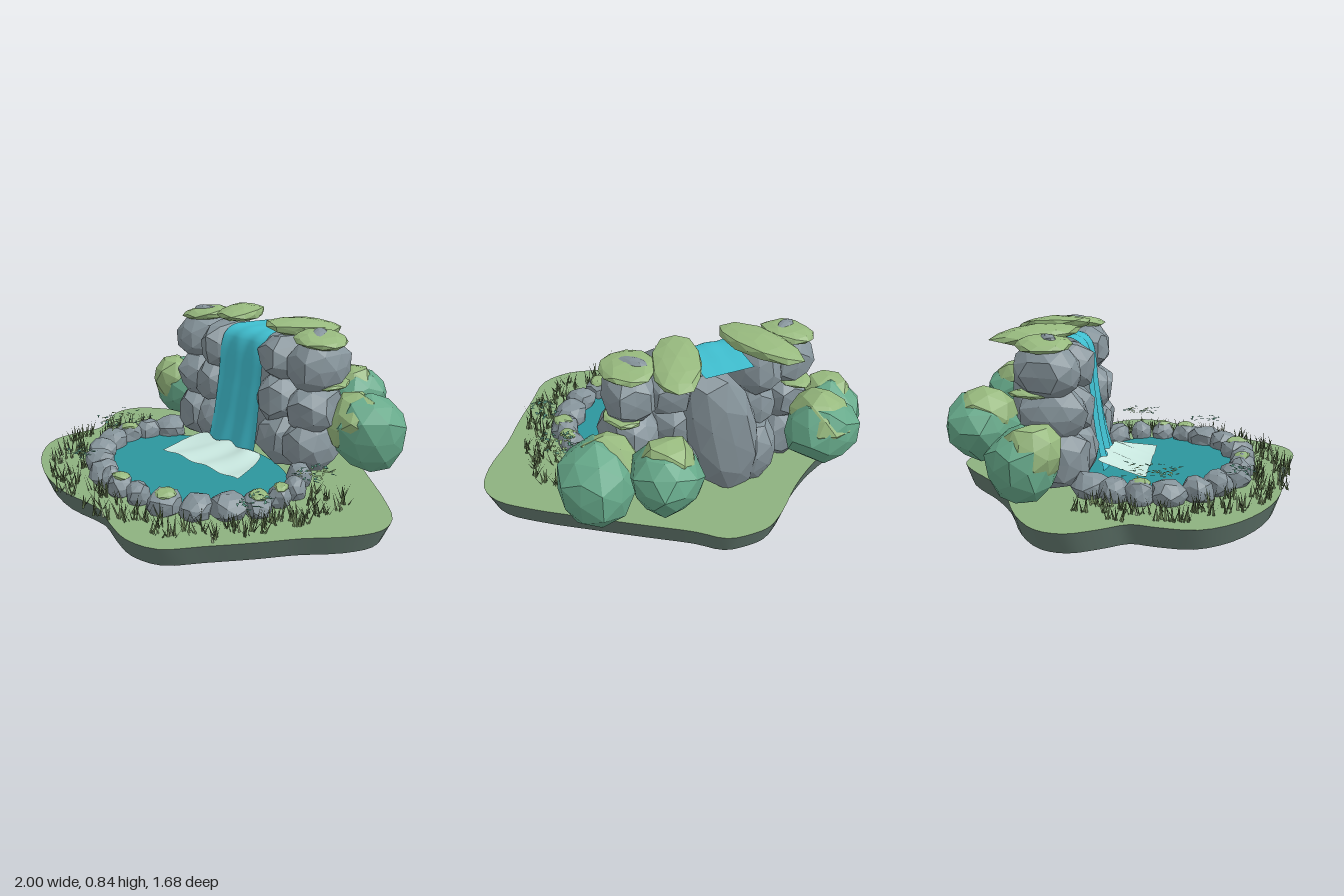
import * as THREE from 'three';
import { mergeGeometries } from 'three/addons/utils/BufferGeometryUtils.js';

const mat = (name, color, extra = {}) => {
  const m = new THREE.MeshStandardMaterial({ color, ...extra });
  m.name = name;
  return m;
};
const open = { side: THREE.DoubleSide };
const flat = { flatShading: true };
const M = {
  grass: mat('grass', 0x8db17f, open),
  earth: mat('earth', 0x62786e, open),
  rock: mat('rock', 0x86949b, flat),
  moss: mat('moss', 0x97b97e, flat),
  leaf: mat('leaf', 0x66a98a, flat),
  pond: mat('pond water', 0x2c969d, open),
  fall: mat('falling water', 0x3fbdce, open),
  foam: mat('foam', 0xcbeae2, open),
  blade: mat('grass blade', 0x667c50, open),
  fern: mat('fern', 0x5b9a86, open),
};

// Small seeded random source
let seed = 7;
const rnd = () => (seed = (seed * 16807) % 2147483647) / 2147483647;
const spread = (a) => (rnd() * 2 - 1) * a;

// Faceted lump: icosphere, made boxier and dented by a position hash
function lump(radii, rough = 0.1, boxy = 0) {
  const g = new THREE.IcosahedronGeometry(1, 1);
  const p = g.attributes.position;
  const v = new THREE.Vector3();
  const s = rnd() * 50;
  for (let i = 0; i < p.count; i++) {
    v.fromBufferAttribute(p, i).normalize();
    const key = Math.round(v.x * 50) * 1.7 + Math.round(v.y * 50) * 2.9 + Math.round(v.z * 50) * 4.3;
    const h = Math.sin(key + s) * 43.7;
    const big = Math.max(Math.abs(v.x), Math.abs(v.y), Math.abs(v.z));
    v.multiplyScalar(1 + boxy * (1 / big - 1) + rough * ((h - Math.floor(h)) * 2 - 1));
    p.setXYZ(i, v.x * radii[0], v.y * radii[1], v.z * radii[2]);
  }
  g.computeVertexNormals();
  return g;
}

// Sheet whose points follow a rule of u and v
function sheet(nu, nv, rule) {
  const g = new THREE.PlaneGeometry(1, 1, nu, nv);
  const p = g.attributes.position;
  for (let i = 0; i < p.count; i++) p.setXYZ(i, ...rule(p.getX(i) + 0.5, 0.5 - p.getY(i)));
  g.computeVertexNormals();
  return g;
}

export function createModel() {
  const root = new THREE.Group();
  const add = (name, geo, material, pos = [0, 0, 0], rot = [0, 0, 0]) => {
    const m = new THREE.Mesh(geo, material);
    m.name = name;
    m.position.set(...pos);
    m.rotation.set(...rot);
    root.add(m);
  };

  // Island: wavy lawn over an open, tapered earth rim
  const outline = new THREE.CatmullRomCurve3([
    [0, -0.84], [0.12, -0.82], [0.23, -0.72], [0.42, -0.58], [0.66, -0.4], [0.84, -0.26], [0.97, -0.13],
    [1, -0.01], [0.94, 0.13], [0.8, 0.3], [0.7, 0.45], [0.56, 0.64], [0.44, 0.795], [0.28, 0.835], [0.12, 0.795],
    [-0.04, 0.74], [-0.3, 0.75], [-0.55, 0.69], [-0.78, 0.55], [-0.89, 0.39], [-0.88, 0.22], [-0.86, 0.11],
    [-0.93, 0], [-1, -0.14], [-0.97, -0.26], [-0.82, -0.38], [-0.55, -0.5], [-0.35, -0.63], [-0.2, -0.76], [-0.09, -0.83],
  ].map(([x, z]) => new THREE.Vector3(x, 0, z)), true);
  const edge = outline.getPoints(90);
  const lawn = new THREE.ShapeGeometry(new THREE.Shape(edge.slice(0, -1).map((p) => new THREE.Vector2(p.x, -p.z))));
  add('lawn', lawn.rotateX(-Math.PI / 2), M.grass, [0, 0.1, 0]);
  add('earthRim', sheet(90, 1, (u, v) => {
    const p = edge[Math.round(u * 90)];
    const s = v > 0.5 ? 0.955 : 1;
    return [p.x * s, v > 0.5 ? 0 : 0.1, p.z * s];
  }), M.earth);

  // Pond
  const pond = new THREE.CircleGeometry(1, 48).rotateX(-Math.PI / 2).scale(0.54, 1, 0.39);
  add('pond', pond, M.pond, [-0.025, 0.118, 0.155]);

  // Stones around the pond: x, z, radius, mossy
  [
    [-0.5, -0.11, 0.09], [-0.56, 0, 0.07], [-0.585, 0.12, 0.065, 1], [-0.57, 0.245, 0.08], [-0.5, 0.365, 0.075],
    [-0.4, 0.455, 0.075], [-0.27, 0.53, 0.075], [-0.1, 0.565, 0.065, 1], [0.04, 0.565, 0.06], [0.19, 0.535, 0.08, 1],
    [0.33, 0.475, 0.08], [0.43, 0.36, 0.09], [0.5, 0.25, 0.075, 1], [0.515, 0.12, 0.06, 1], [0.51, 0, 0.06],
    [0.43, -0.12, 0.07], [-0.18, 0.555, 0.05],
  ].forEach(([x, z, r, mossy]) => {
    add('pondStone', lump([r, 0.066, r * 0.92], 0.13, 0.25), M.rock, [x, 0.138, z], [0, rnd() * 6, spread(0.2)]);
    if (mossy) add('stoneMoss', lump([r * 0.7, 0.02, r * 0.6], 0.15), M.moss, [x + 0.01, 0.19, z], [0, rnd() * 6, 0]);
  });

  // Cliff boulders: position, radii
  [
    [-0.435, 0.65, -0.32, 0.12, 0.12, 0.155], [-0.25, 0.65, -0.32, 0.105, 0.125, 0.18],
    [-0.41, 0.45, -0.3, 0.115, 0.12, 0.155], [-0.26, 0.45, -0.3, 0.105, 0.125, 0.16],
    [-0.405, 0.24, -0.29, 0.115, 0.14, 0.155], [-0.255, 0.25, -0.28, 0.105, 0.14, 0.16],
    [0.195, 0.66, -0.32, 0.115, 0.115, 0.18], [0.365, 0.65, -0.32, 0.12, 0.13, 0.155],
    [0.175, 0.45, -0.29, 0.115, 0.125, 0.16], [0.365, 0.44, -0.3, 0.115, 0.12, 0.155],
    [0.215, 0.25, -0.28, 0.11, 0.14, 0.16], [0.365, 0.25, -0.29, 0.115, 0.14, 0.155],
    [-0.2, 0.24, -0.42, 0.13, 0.16, 0.11], [0.2, 0.24, -0.42, 0.13, 0.16, 0.11],
  ].forEach(([x, y, z, ...r]) => add('cliffBoulder', lump(r, 0.08, 0.5), M.rock, [x, y, z], [spread(0.12), spread(0.25), spread(0.12)]));
  add('backSlab', lump([0.17, 0.37, 0.14], 0.07, 0.15), M.rock, [-0.04, 0.4, -0.44], [-0.05, 0, -0.25]);

  // Moss caps on the cliff: position, radii, rotation
  [
    [[-0.24, 0.795, -0.41], [0.12, 0.042, 0.215], [-0.1, 0.5, 0.08]],
    [[-0.43, 0.772, -0.33], [0.125, 0.036, 0.13], [0, 0.3, 0.12]],
    [[0.18, 0.79, -0.42], [0.12, 0.042, 0.21], [-0.1, -0.4, -0.08]],
    [[0.37, 0.775, -0.33], [0.13, 0.036, 0.14], [0, 0.2, -0.1]],
    [[0.42, 0.555, -0.36], [0.08, 0.025, 0.11], [0, 0, 0]],
    [[-0.45, 0.55, -0.38], [0.08, 0.022, 0.11], [0, 0, 0]],
  ].forEach(([p, r, rot]) => add('mossCap', lump(r, 0.1), M.moss, p, rot));
  add('cliffTopStone', lump([0.07, 0.03, 0.035], 0.15), M.rock, [-0.42, 0.79, -0.32], [0, 0.6, 0]);
  add('cliffTopStone', lump([0.04, 0.03, 0.085], 0.15), M.rock, [0.35, 0.79, -0.33], [0, 0.5, 0]);

  // Waterfall: x holds the half width along the stream
  const stream = new THREE.CatmullRomCurve3([
    [0.12, 0.75, -0.52], [0.125, 0.762, -0.38], [0.135, 0.762, -0.26], [0.14, 0.72, -0.205],
    [0.145, 0.5, -0.17], [0.155, 0.3, -0.14], [0.17, 0.11, -0.095],
  ].map((p) => new THREE.Vector3(...p)));
  add('waterfall', sheet(24, 32, (u, v) => {
    const p = stream.getPoint(v);
    const fold = 0.006 * Math.sin(u * 15 + v * 4) * Math.min(1, v * 2);
    return [-0.03 + (u * 2 - 1) * p.x, p.y + (v < 0.4 ? fold * 0.6 : 0), p.z + (v < 0.4 ? 0 : fold)];
  }), M.fall);

  // Foam spilling onto the pond
  add('foam', sheet(28, 10, (u, v) => [
    -0.03 + (u * 2 - 1) * (0.2 + 0.075 * Math.sqrt(v)),
    0.135 + 0.05 * (1 - v) ** 1.5 + 0.006 * Math.sin(u * 17 + v * 4),
    -0.11 + v * 0.225 - 0.015 * Math.cos(u * 12) * (1 - v),
  ]), M.foam);

  // Shrubs with sunlit crowns: position, radii, crown offset
  [
    [[-0.68, 0.285, -0.38], [0.165, 0.165, 0.165], [-0.015, 0.05, 0.045]],
    [[-0.47, 0.4, -0.62], [0.185, 0.16, 0.165], [0.01, 0.045, 0.01]],
    [[0.35, 0.405, -0.66], [0.17, 0.16, 0.16], [-0.02, 0.035, 0.02]],
    [[0.585, 0.315, -0.46], [0.185, 0.195, 0.195], [-0.05, 0.045, 0.035]],
  ].forEach(([p, r, o]) => {
    add('shrub', lump(r, 0.09), M.leaf, p, [0, rnd() * 6, 0]);
    add('shrubCrown', lump(r.map((a) => a * 0.84), 0.11), M.moss, p.map((a, i) => a + o[i]), [0, rnd() * 6, 0]);
  });

  // Grass tufts of pointed blades scattered round the pond
  const blade = (h, w, turn, lean) => {
    const g = new THREE.PlaneGeometry(w, h).translate(0, h / 2, 0);
    for (const j of [0, 1]) g.attributes.position.setX(j, 0);
    return g.rotateX(lean).rotateY(turn);
  };
  const blades = [];
  for (let i = 0; i < 90; i++) {
    const a = -0.52 + ((i + rnd()) / 90) * (Math.PI + 1.04);
    const out = 0.1 + rnd() * 0.16;
    const x = -0.03 + Math.cos(a) * (0.55 + out);
    const z = 0.14 + Math.sin(a) * (0.4 + out);
    for (let k = 0; k < 5; k++) {
      blades.push(blade(0.055 + rnd() * 0.045, 0.012, rnd() * 6.28, 0.15 + rnd() * 0.5)
        .translate(x + spread(0.018), 0.1, z + spread(0.018)));
    }
  }
  add('grassTufts', mergeGeometries(blades), M.blade);

  // Fern leaflets held flat above the bank: x, height, z, reach in x and z, colour
  [
    [-0.6, 0.25, 0.18, 0.12, 0.13, M.fern], [-0.58, 0.245, 0.18, 0.1, 0.11, M.moss],
    [0.61, 0.25, -0.02, 0.07, 0.1, M.fern], [0.61, 0.245, -0.03, 0.06, 0.08, M.moss],
    [0.58, 0.22, 0.35, 0.05, 0.08, M.fern], [-0.42, 0.22, 0.57, 0.08, 0.06, M.fern],
  ].forEach(([x, y, z, rx, rz, material]) => {
    const leaflets = [];
    for (let i = 0; i < 22; i++) {
      leaflets.push(blade(0.032, 0.014, rnd() * 6.28, -Math.PI / 2 + spread(0.15))
        .translate(x + spread(rx), y + spread(0.006), z + spread(rz)));
    }
    add('fernLeaflets', mergeGeometries(leaflets), material);
  });
  return root;
}
